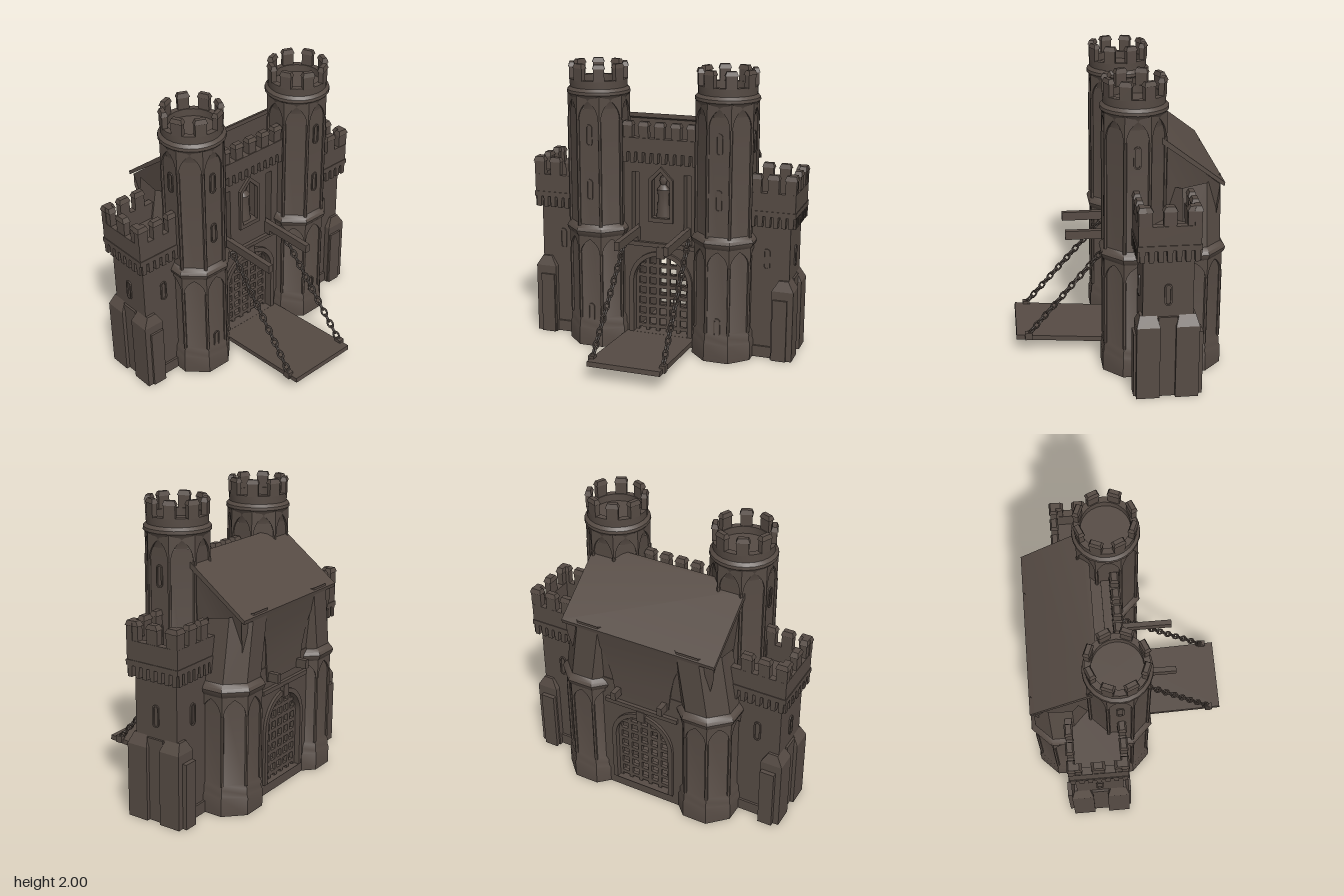
import * as THREE from 'three';
import { toCreasedNormals } from 'three/addons/utils/BufferGeometryUtils.js';

const stone = new THREE.MeshStandardMaterial({ color: 0x564b44 });
stone.name = 'darkStone';
const OCT = 1 / Math.cos(Math.PI / 8); // apothem to corner radius
const V = (x, y) => new THREE.Vector2(x, y);

export function createModel() {
  const root = new THREE.Group();
  root.name = 'castleGatehouse';

  const add = (parent, name, geo, x = 0, y = 0, z = 0) => {
    const m = new THREE.Mesh(toCreasedNormals(geo, 0.6), stone);
    m.name = name;
    m.position.set(x, y, z);
    parent.add(m);
    return m;
  };
  const group = (name, parent = root) => {
    const g = new THREE.Group();
    g.name = name;
    parent.add(g);
    return g;
  };
  // box given by its limits
  const box = (p, name, x0, x1, y0, y1, z0, z1) =>
    add(p, name, new THREE.BoxGeometry(x1 - x0, y1 - y0, z1 - z0), (x0 + x1) / 2, (y0 + y1) / 2, (z0 + z1) / 2);
  const extrude = (shape, depth) =>
    new THREE.ExtrudeGeometry(shape, { depth, bevelEnabled: false, curveSegments: 16 });
  const polygon = pts => new THREE.Shape(pts.map(([x, y]) => V(x, y)));
  // box with a narrowed top
  const tapered = (w, h, d, kx, kz) => {
    const g = new THREE.BoxGeometry(w, h, d), p = g.attributes.position;
    for (let i = 0; i < p.count; i++)
      if (p.getY(i) > 0) { p.setX(i, p.getX(i) * kx); p.setZ(i, p.getZ(i) * kz); }
    return g;
  };
  const merlon = (p, x, y, z, w, h, d, ry = 0) => {
    const g = group('merlon', p);
    g.position.set(x, y, z);
    g.rotation.y = ry;
    add(g, 'merlonBlock', new THREE.BoxGeometry(w, h * 0.75, d), 0, h * 0.375, 0);
    add(g, 'merlonCap', tapered(w + 0.012, h * 0.25, d + 0.012, 0.75, 0.6), 0, h * 0.875, 0);
  };
  const octagon = pts => new THREE.LatheGeometry(pts.map(([r, y]) => V(r * OCT, y)), 8, Math.PI / 8);
  const round = pts => new THREE.LatheGeometry(pts.map(([r, y]) => V(r, y)), 24);
  const archPath = (Path, r, y0, spring) => {
    const s = new Path();
    s.moveTo(-r, y0);
    s.lineTo(r, y0);
    s.lineTo(r, spring);
    s.absarc(0, spring, r, 0, Math.PI, false);
    s.lineTo(-r, y0);
    return s;
  };
  // rounded frame around an arrow slit
  const slit = (p, x, y, z, ry = 0, h = 0.07) => {
    const ring = (T, w, k) => {
      const s = new T();
      s.moveTo(w, -k);
      s.lineTo(w, k);
      s.absarc(0, k, w, 0, Math.PI, false);
      s.lineTo(-w, -k);
      s.absarc(0, -k, w, Math.PI, Math.PI * 2, false);
      return s;
    };
    const s = ring(THREE.Shape, 0.024, h - 0.02);
    s.holes.push(ring(THREE.Path, 0.014, h - 0.02));
    add(p, 'arrowSlit', extrude(s, 0.009), x, y, z).rotation.y = ry;
  };
  // ring of pointed arches with corner ribs on an octagonal shaft
  const arcade = (p, a, yLow, yArch, yTop) => {
    const w = a * Math.tan(Math.PI / 8), h = yTop - yArch, o = w - 0.012;
    const s = new THREE.Shape();
    s.moveTo(-w, 0);
    s.lineTo(-o, 0);
    s.quadraticCurveTo(-o, h * 0.45, 0, h * 0.75);
    s.quadraticCurveTo(o, h * 0.45, o, 0);
    s.lineTo(w, 0);
    s.lineTo(w, h);
    s.lineTo(-w, h);
    for (let i = 0; i < 8; i++) {
      const t = i * Math.PI / 4, c = t + Math.PI / 8, R = (a - 0.008) * OCT;
      add(p, 'archPanel', extrude(s, 0.018), Math.sin(t) * (a - 0.018), yArch, Math.cos(t) * (a - 0.018)).rotation.y = t;
      add(p, 'cornerRib', new THREE.CylinderGeometry(0.012, 0.012, yArch - yLow, 6),
        Math.sin(c) * R, (yArch + yLow) / 2, Math.cos(c) * R);
    }
  };
  const plinth = [[0, 0], [0.208, 0], [0.208, 0.12], [0.2, 0.14], [0.2, 0.18], [0.186, 0.21]];
  const belt = [[0.195, 0.80], [0.212, 0.825], [0.217, 0.845], [0.207, 0.865], [0.185, 0.89]];

  for (const s of [-1, 1]) {
    // tall front tower
    const tower = group('frontTower');
    tower.position.set(s * 0.46, 0, -0.085);
    add(tower, 'towerShaft', octagon([...plinth, [0.186, 1.7]]));
    add(tower, 'towerBelt', octagon(belt));
    arcade(tower, 0.198, 0.2, 0.68, 0.82);
    arcade(tower, 0.198, 0.88, 1.62, 1.8);
    add(tower, 'towerCrown', round([[0.19, 1.7], [0.2, 1.77], [0.219, 1.795], [0.217, 1.815], [0.198, 1.835],
      [0.2, 1.89], [0.16, 1.89], [0.16, 1.84], [0, 1.84]]));
    for (let i = 0; i < 8; i++) {
      const t = (i + 0.5) * Math.PI / 4;
      merlon(tower, Math.sin(t) * 0.182, 1.885, Math.cos(t) * 0.182, 0.075, 0.115, 0.035, t);
    }
    for (const y of [0.24, 1.14, 1.52]) slit(tower, 0, y, 0.185);
    for (const y of [1.14, 1.52]) slit(tower, s * 0.185, y, 0, s * Math.PI / 2);

    // lower rear tower, its upper shaft leaning in under the roof
    const rear = group('rearTower');
    rear.position.set(s * 0.43, 0, -0.465);
    add(rear, 'rearShaft', octagon([...plinth, [0.186, 0.87]]));
    add(rear, 'rearBelt', octagon(belt));
    arcade(rear, 0.198, 0.2, 0.68, 0.82);
    const upper = new THREE.CylinderGeometry(0.186 * OCT, 0.186 * OCT, 0.44, 8, 1, true, Math.PI / 8), p = upper.attributes.position;
    for (let i = 0; i < p.count; i++) if (p.getY(i) > 0) {
      p.setX(i, p.getX(i) - s * 0.07);
      p.setY(i, p.getY(i) - p.getZ(i) * 0.2 - 0.02);
    }
    add(rear, 'rearUpperShaft', upper, 0, 1.09, 0);

    // side turret
    const turret = group('sideTurret');
    const side = (name, a, b, ...rest) => box(turret, name, Math.min(s * a, s * b), Math.max(s * a, s * b), ...rest);
    side('turretShaft', 0.45, 0.91, 0, 1.06, -0.41, -0.09);
    side('turretPlinth', 0.45, 0.925, 0, 0.08, -0.425, -0.075);
    side('parapetMoulding', 0.53, 0.95, 1.02, 1.055, -0.45, -0.05);
    for (const z of [-0.435, -0.06]) side('parapetWall', 0.54, 0.94, 1.05, 1.18, z - 0.005, z + 0.0);
    side('parapetFront', 0.54, 0.94, 1.05, 1.18, -0.1, -0.055);
    side('parapetBack', 0.54, 0.94, 1.05, 1.18, -0.445, -0.4);
    side('parapetOuter', 0.895, 0.945, 1.05, 1.18, -0.445, -0.055);
    for (const z of [-0.078, -0.422])
      for (const x of [0.67, 0.79, 0.91]) merlon(turret, s * x, 1.18, z, 0.075, 0.125, 0.045);
    merlon(turret, s * 0.92, 1.18, -0.25, 0.045, 0.125, 0.08);
    for (const z of [-0.1, -0.4]) merlon(turret, s * 0.92, 1.18, z, 0.045, 0.125, 0.085);
    for (let i = 0; i < 7; i++) {
      const x = 0.6 + i * 0.053;
      for (const z of [-0.07, -0.43]) add(turret, 'corbel', tapered(0.03, 0.08, 0.04, 1.2, 1), s * x, 0.985, z);
      add(turret, 'corbel', tapered(0.04, 0.08, 0.03, 1, 1.2), s * 0.928, 0.985, -0.08 - i * 0.057);
    }
    // corner buttresses with sloping tops
    for (const [z0, z1] of [[-0.2, -0.05], [-0.45, -0.3]]) {
      side('buttress', 0.8, 0.95, 0, 0.5, z0, z1);
      const cap = tapered(0.15, 0.07, z1 - z0, 0.45, 0.7);
      add(turret, 'buttressCap', cap, s * 0.875, 0.535, (z0 + z1) / 2);
    }
    for (const [z0, z1] of [[-0.06, -0.035], [-0.48, -0.44]]) side('outerButtress', 0.81, 0.91, 0, 0.44, z0, z1);
    side('middlePier', 0.9, 0.925, 0, 0.56, -0.31, -0.19);
    slit(turret, s * 0.75, 0.71, -0.09);
    slit(turret, s * 0.75, 0.71, -0.41, Math.PI);
    slit(turret, s * 0.91, 0.71, -0.25, s * Math.PI / 2);

    // lifting beam and chain
    box(root, 'liftingBeam', s * 0.173 - 0.018, s * 0.173 + 0.018, 0.8, 0.86, -0.68, 0.34);
    box(root, 'beamBracket', s * 0.19 - 0.035, s * 0.19 + 0.035, 0.765, 0.8, -0.08, -0.02);
    const chain = group('chain');
    const a = new THREE.Vector3(s * 0.247, 0.13, 0.61), b = new THREE.Vector3(s * 0.225, 0.8, 0.03);
    chain.position.copy(a);
    chain.quaternion.setFromUnitVectors(new THREE.Vector3(0, 1, 0), b.clone().sub(a).normalize());
    const links = 19, step = a.distanceTo(b) / links;
    for (let i = 0; i <= links; i++) {
      const link = new THREE.TorusGeometry(0.018, 0.007, 6, 12).scale(1, 1.5, 1);
      add(chain, 'chainLink', link, 0, i * step, 0).rotation.y = (i % 2) * Math.PI / 2 + Math.PI / 4;
    }
    box(root, 'chainAnchor', s * 0.25 - 0.02, s * 0.25 + 0.02, 0.1, 0.15, 0.58, 0.63);
  }

  // gate passage and front wall
  const body = polygon([[-0.5, 0], [0.5, 0], [0.5, 0.9], [-0.5, 0.9]]);
  body.holes.push(archPath(THREE.Path, 0.2, 0.08, 0.46));
  add(root, 'gatePassage', extrude(body, 0.46), 0, 0, -0.6);
  const wall = polygon([[-0.34, 0], [0.34, 0], [0.34, 1.45], [-0.34, 1.45]]);
  wall.holes.push(archPath(THREE.Path, 0.2, 0.08, 0.46));
  wall.holes.push(new THREE.Path([V(-0.075, 0.93), V(0.075, 0.93), V(0.075, 1.2), V(0, 1.28), V(-0.075, 1.2)]));
  for (const x of [-0.19, 0.19])
    wall.holes.push(new THREE.Path([V(x - 0.026, 0.8), V(x + 0.026, 0.8), V(x + 0.026, 1.25), V(x - 0.026, 1.25)]));
  add(root, 'frontWall', extrude(wall, 0.07), 0, 0, -0.14);
  box(root, 'wallBacking', -0.4, 0.4, 0.88, 1.42, -0.23, -0.138);

  // arch mouldings and portcullises at both ends
  for (const [z, grille] of [[-0.07, -0.12], [-0.6, -0.57]]) {
    const trim = archPath(THREE.Shape, 0.232, 0.08, 0.46);
    trim.holes.push(archPath(THREE.Path, 0.2, 0.081, 0.46));
    add(root, 'archMoulding', extrude(trim, 0.04), 0, 0, z - 0.02);
    box(root, 'keystone', -0.03, 0.03, 0.645, 0.73, z - 0.03, z + 0.03);
    box(root, 'hoodMoulding', -0.27, 0.27, 0.725, 0.755, z - 0.025, z + 0.025);
    const g = group('portcullis');
    for (const x of [-0.19, -0.114, -0.038, 0.038, 0.114, 0.19])
      box(g, 'uprightBar', x - 0.013, x + 0.013, 0.08, 0.47 + Math.sqrt(0.04 - x * x), grille - 0.012, grille + 0.012);
    for (let i = 0; i < 7; i++) {
      const y = 0.113 + i * 0.076, w = Math.sqrt(0.04 - Math.max(0, y - 0.46) ** 2);
      box(g, 'crossBar', -w, w, y - 0.013, y + 0.013, grille - 0.012, grille + 0.012);
    }
  }

  // statue niche
  const frame = polygon([[-0.088, 0.905], [0.088, 0.905], [0.088, 1.21], [0, 1.3], [-0.088, 1.21]]);
  frame.holes.push(new THREE.Path([V(-0.066, 0.935), V(0.066, 0.935), V(0.066, 1.195), V(0, 1.265), V(-0.066, 1.195)]));
  add(root, 'nicheFrame', extrude(frame, 0.03), 0, 0, -0.08);
  add(root, 'statue', round([[0, 0.93], [0.05, 0.93], [0.042, 1.0], [0.038, 1.08], [0.045, 1.13], [0.018, 1.165],
    [0.027, 1.19], [0.02, 1.22], [0, 1.23]]).scale(1, 1, 0.8), 0, 0, -0.115);

  // front parapet
  for (let i = 0; i < 10; i++)
    add(root, 'wallCorbel', tapered(0.028, 0.08, 0.05, 1.25, 1), -0.252 + i * 0.056, 1.365, -0.05);
  box(root, 'wallParapet', -0.3, 0.3, 1.4, 1.5, -0.085, -0.02);
  for (let i = 0; i < 5; i++) merlon(root, -0.23 + i * 0.115, 1.5, -0.052, 0.065, 0.11, 0.05);

  // upper hall, narrowing downwards, and its lean-to roof
  const hall = extrude(polygon([[0.22, 0.75], [0.22, 1.61], [0.63, 1.29], [0.63, 1.2], [0.59, 0.85], [0.59, 0.75]]), 1.08);
  hall.translate(0, 0, -0.54).rotateY(Math.PI / 2);
  const hp = hall.attributes.position;
  for (let i = 0; i < hp.count; i++) if (hp.getY(i) < 1) hp.setX(i, hp.getX(i) * 0.84);
  add(root, 'upperHall', hall);
  const roof = extrude(polygon([[0.205, 1.61], [0.205, 1.64], [0.235, 1.63], [0.66, 1.305], [0.655, 1.28]]), 1.11);
  add(root, 'leanToRoof', roof.translate(0, 0, -0.555).rotateY(Math.PI / 2));

  // flared rear panel spreading up to the eaves
  const rows = [[0.2, 0.8, -0.605], [0.22, 0.95, -0.61], [0.25, 1.08, -0.62], [0.3, 1.2, -0.637], [0.36, 1.3, -0.655]];
  const pos = [], idx = [];
  rows.forEach(([w, y, z], i) => {
    pos.push(-w, y, -0.5, -w, y, z, w, y, z, w, y, -0.5);
    if (i) for (let k = 0; k < 3; k++) {
      const a = (i - 1) * 4 + k, b = a + 4;
      idx.push(a, b, a + 1, a + 1, b, b + 1);
    }
  });
  const flare = new THREE.BufferGeometry();
  flare.setAttribute('position', new THREE.Float32BufferAttribute(pos, 3));
  flare.setIndex(idx.reverse());
  flare.computeVertexNormals();
  // face the panel outwards (towards -z)
  if (flare.attributes.normal.getZ(5) > 0) { flare.setIndex([...flare.index.array].reverse()); flare.computeVertexNormals(); }
  add(root, 'flaredRearPanel', flare);

  // drawbridge
  const deck = add(root, 'drawbridge', new THREE.BoxGeometry(0.51, 0.034, 0.78), 0, 0.088, 0.3);
  deck.rotation.x = -0.078;
  return root;
}
